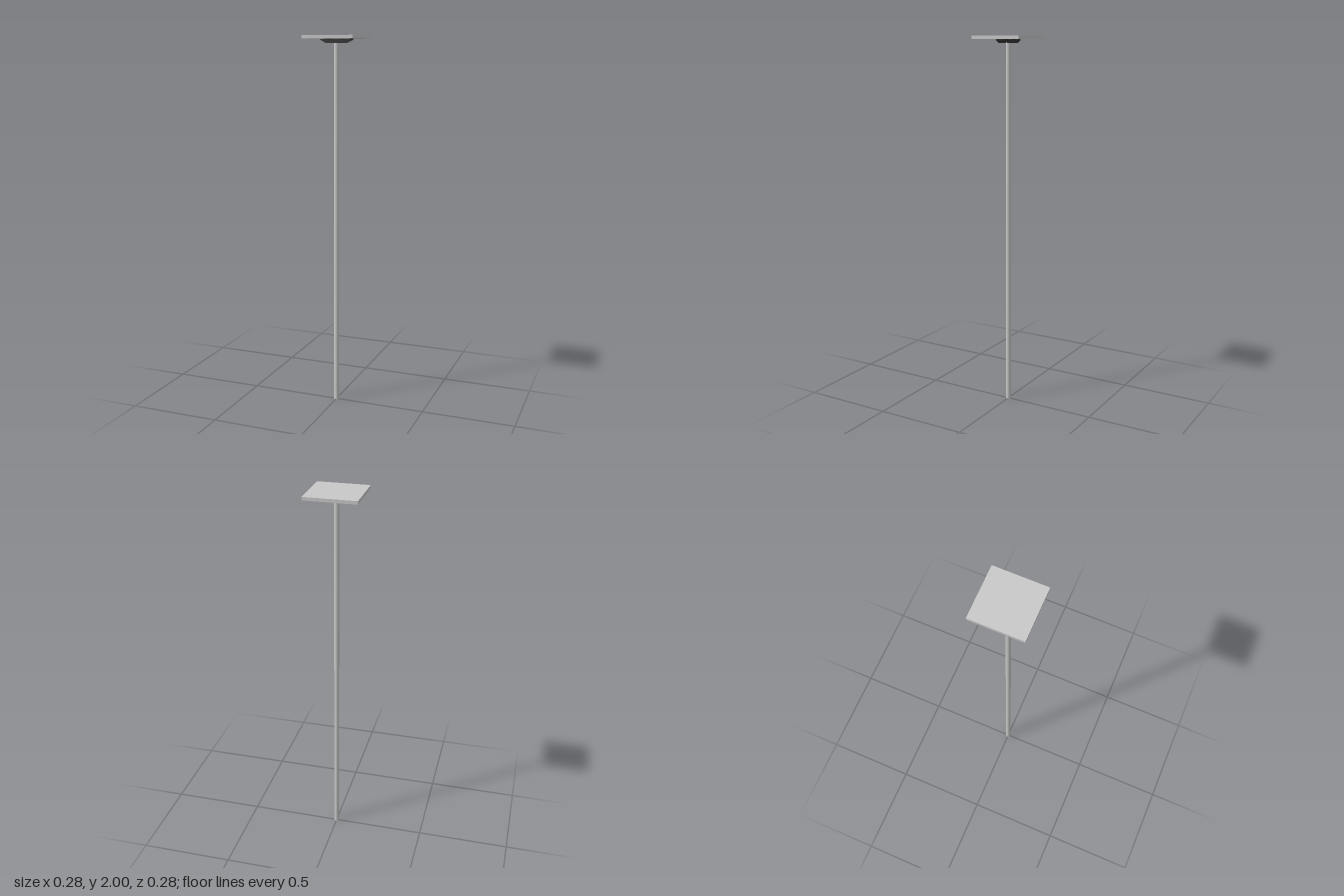
import * as THREE from 'three';

export function createModel() {
  const model = new THREE.Group();
  const paleGrey = new THREE.MeshStandardMaterial({ color: 0xc8c8c8 });
  paleGrey.name = 'paleGrey';
  const darkMetal = new THREE.MeshStandardMaterial({ color: 0x333333 });
  darkMetal.name = 'darkMetal';

  const add = (parent, name, geometry, material, x, y, z) => {
    const mesh = new THREE.Mesh(geometry, material);
    mesh.name = name;
    mesh.position.set(x, y, z);
    parent.add(mesh);
    return mesh;
  };

  // Square top and slender round pole
  add(model, 'topPlate', new THREE.BoxGeometry(0.276, 0.017, 0.276), paleGrey, 0, 1.9915, 0);
  add(model, 'pole', new THREE.CylinderGeometry(0.0135, 0.0135, 1.976, 32), paleGrey, 0, 0.988, 0);

  // Mounting bracket under the top: a channel with flared ends
  const bracket = new THREE.Group();
  bracket.name = 'bracket';
  model.add(bracket);
  add(bracket, 'bracketBase', new THREE.BoxGeometry(0.165, 0.004, 0.05), darkMetal, 0, 1.981, 0);

  const wall = new THREE.Shape([
    new THREE.Vector2(-0.083, 1.983), new THREE.Vector2(-0.08, 1.977),
    new THREE.Vector2(-0.05, 1.962), new THREE.Vector2(0.05, 1.962),
    new THREE.Vector2(0.08, 1.977), new THREE.Vector2(0.083, 1.983),
  ]);
  const wallGeometry = new THREE.ExtrudeGeometry(wall, { depth: 0.004, bevelEnabled: false });
  for (const side of [-1, 1]) {
    add(bracket, 'bracketWall', wallGeometry, darkMetal, 0, 0, side * 0.024 - 0.002);
    // Screw tabs reaching out past each wall
    for (const x of [-0.035, 0.035]) {
      add(bracket, 'screwTab', new THREE.BoxGeometry(0.024, 0.004, 0.022), darkMetal, x, 1.981, side * 0.035);
      add(bracket, 'screwHead', new THREE.CylinderGeometry(0.005, 0.005, 0.003, 16), darkMetal, x, 1.978, side * 0.038);
    }
  }

  // Collar joining the pole to the bracket
  add(bracket, 'collar', new THREE.CylinderGeometry(0.018, 0.018, 0.012, 32), darkMetal, 0, 1.975, 0);
  return model;
}
